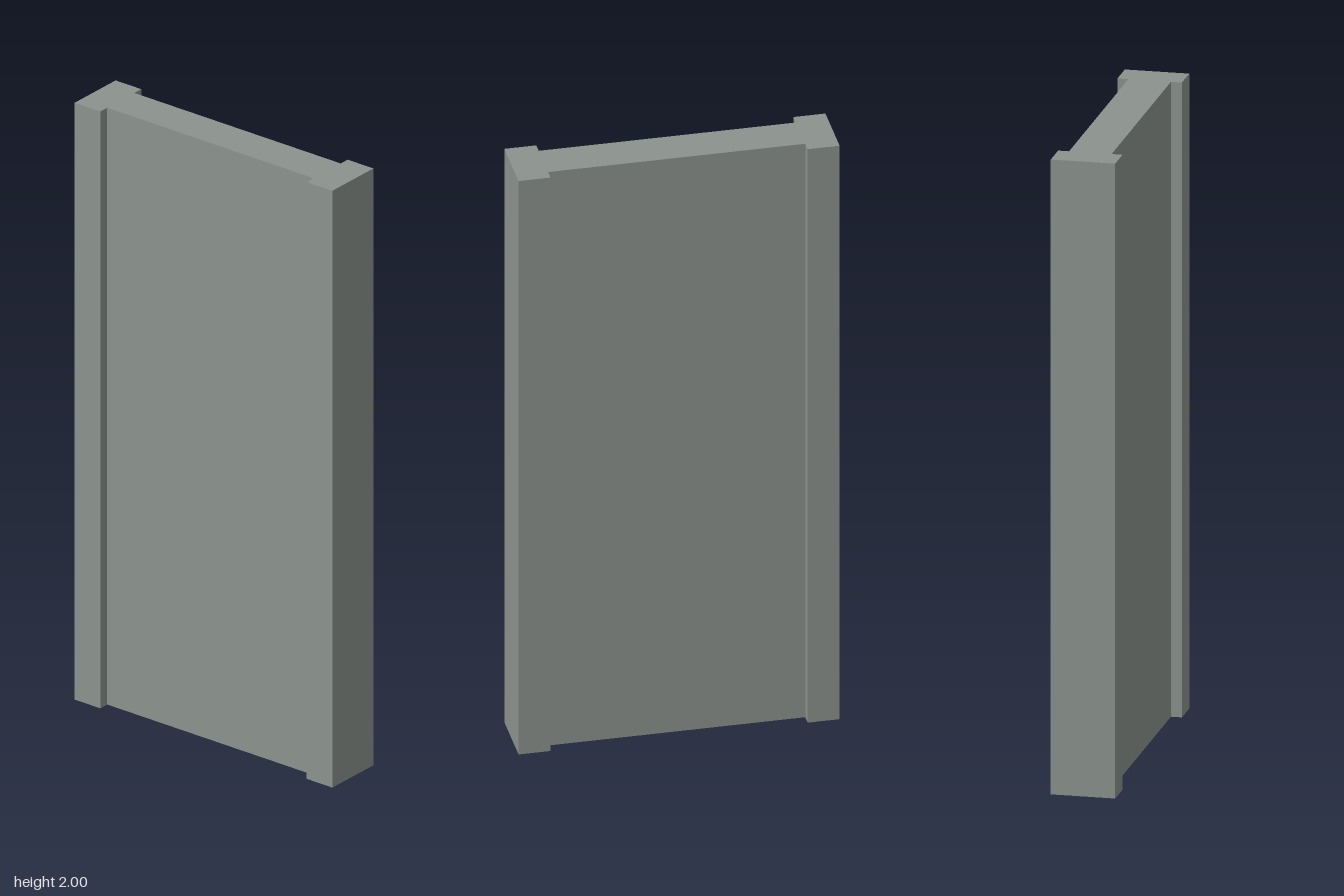
import * as THREE from 'three';

export function createModel() {
  const group = new THREE.Group();
  group.name = 'wallPanel';
  const stone = new THREE.MeshStandardMaterial({ color: 0x8c938e });
  stone.name = 'greyStone';

  const height = 2;
  const outerX = 0.497, innerX = 0.398; // post sides
  const postZ = 0.1, panelZ = 0.066; // half depths

  // I-shaped plan: thin panel with a thicker post at each side
  const quarter = [[outerX, postZ], [innerX, postZ], [innerX, panelZ]];
  const mirrored = [...quarter].reverse();
  const plan = new THREE.Shape([
    ...quarter.map(([x, z]) => new THREE.Vector2(x, z)),
    ...mirrored.map(([x, z]) => new THREE.Vector2(-x, z)),
    ...quarter.map(([x, z]) => new THREE.Vector2(-x, -z)),
    ...mirrored.map(([x, z]) => new THREE.Vector2(x, -z)),
  ]);

  // Extrude the plan upward
  const geometry = new THREE.ExtrudeGeometry(plan, { depth: height, bevelEnabled: false });
  geometry.rotateX(-Math.PI / 2);
  const wall = new THREE.Mesh(geometry, stone);
  wall.name = 'panelWithSidePosts';
  group.add(wall);
  return group;
}
